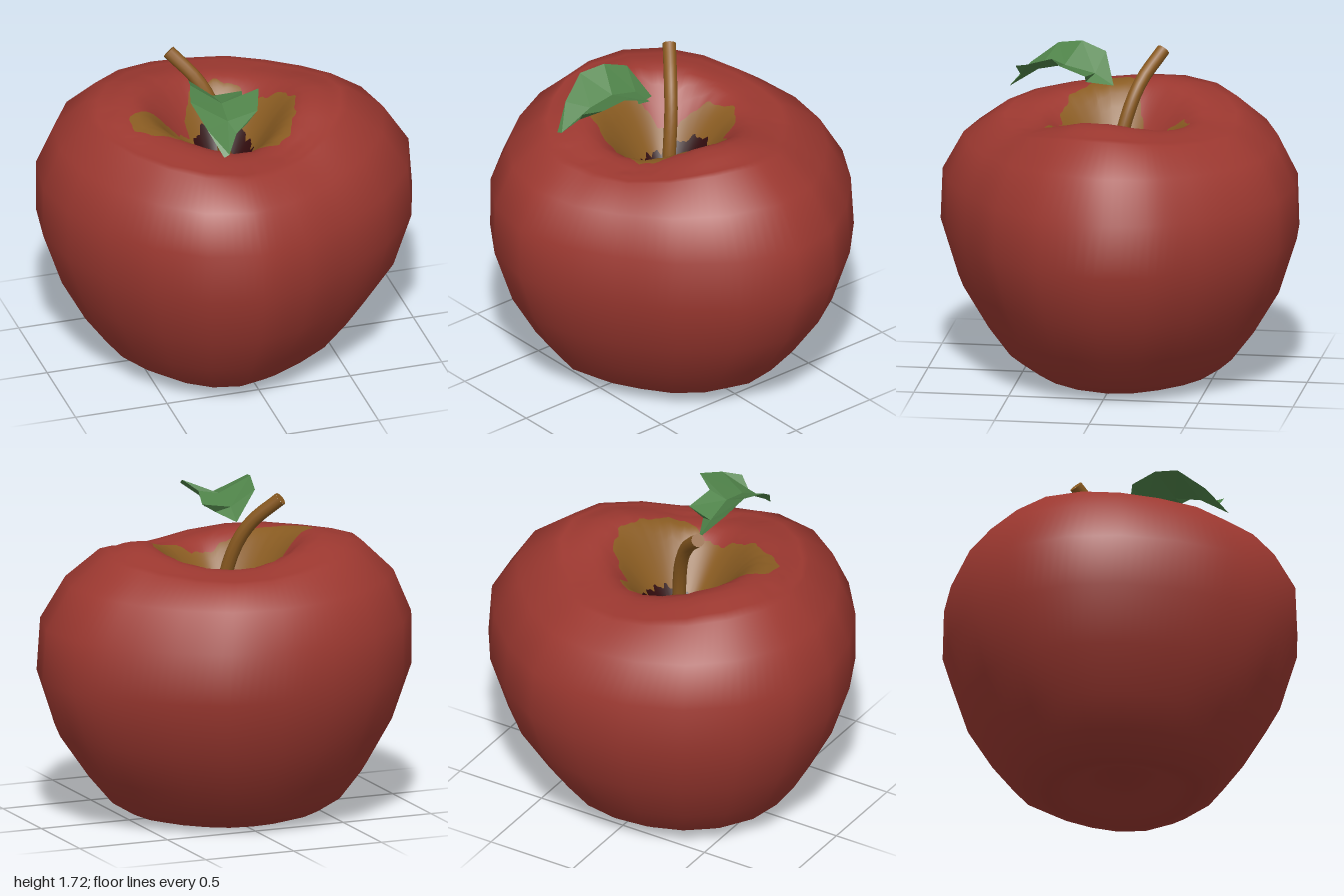
import * as THREE from 'three';

const mat = (name, color, side = THREE.FrontSide) => {
  const m = new THREE.MeshStandardMaterial({ color, side });
  m.name = name;
  return m;
};

// Girth of the fruit, going round from +x towards +z: x, height of the upper rim, z
const GIRTH = [
  [1, 1.465, -0.02], [0.9, 1.455, 0.29], [0.69, 1.41, 0.55], [0.42, 1.365, 0.74], [0.16, 1.36, 0.88],
  [-0.11, 1.38, 0.95], [-0.39, 1.41, 0.89], [-0.63, 1.43, 0.72], [-0.82, 1.44, 0.48], [-0.95, 1.455, 0.21],
  [-1, 1.47, -0.07], [-0.95, 1.48, -0.36], [-0.79, 1.475, -0.62], [-0.55, 1.45, -0.81], [-0.26, 1.42, -0.92],
  [0.03, 1.395, -0.95], [0.32, 1.39, -0.9], [0.57, 1.395, -0.75], [0.79, 1.415, -0.54], [0.95, 1.445, -0.3],
].map((p) => new THREE.Vector3(...p));

// Outer rings from the bottom dimple to the shoulder: scale, height, x shift, share of the rim's wave
const RINGS = [
  [0, 0.1, -0.02, 0], [0.06, 0.1, -0.02, 0], [0.13, 0.115, -0.02, 0], [0.22, 0.08, -0.03, 0], [0.32, 0.03, -0.04, 0],
  [0.42, 0.003, -0.04, 0], [0.51, 0.03, -0.035, 0], [0.63, 0.105, -0.03, 0], [0.755, 0.26, -0.02, 0],
  [0.9, 0.49, 0, 0], [1, 0.785, 0, 0], [0.99, 1.06, -0.01, 0.1], [0.875, 1.27, -0.035, 0.35],
];
const SHOULDER = 0.7;
const CENTRE = -0.05;

// Reach of the painted patches from the centre of the hollow, at even angles
const PALE = [0.39, 0.39, 0.385, 0.41, 0.42, 0.34, 0.31, 0.33, 0.36, 0.4, 0.44, 0.54,
  0.49, 0.28, 0.22, 0.19, 0.25, 0.32, 0.36, 0.39, 0.36, 0.29, 0.33, 0.37];
const DARK = [0.17, 0.15, 0.13, 0.12, 0.13, 0.14, 0.15, 0.15, 0.18, 0.23, 0.23, 0.19];

function reach(table, angle) {
  const f = ((angle / (2 * Math.PI) + 1) % 1) * table.length;
  const i = Math.floor(f);
  const wobble = 0.008 * Math.sin(angle * 17) + 0.005 * Math.sin(angle * 31);
  return THREE.MathUtils.lerp(table[i % table.length], table[(i + 1) % table.length], f - i) + wobble;
}

const SUB = 6;
const COLS = GIRTH.length * SUB;
const BAND = 7;

// Grid of the fruit, with straight or rounded sides between the girth points
function fruitGrid(rounded) {
  const curve = new THREE.CatmullRomCurve3(GIRTH, true);
  const columns = [];
  for (let c = 0; c < COLS; c++) {
    const i = Math.floor(c / SUB);
    const g = rounded ? curve.getPoint(c / COLS)
      : GIRTH[i].clone().lerp(GIRTH[(i + 1) % GIRTH.length], (c % SUB) / SUB);
    const wave = g.y - 1.43;
    const column = RINGS.map(([s, y, dx, w]) => [s * g.x + dx, y + w * wave, s * g.z]);
    // Shoulder, rim and hollow, with rows following the patch edges
    const r = Math.hypot(g.x, g.z);
    const angle = Math.atan2(g.z, g.x);
    const stops = [SHOULDER, reach(PALE, angle) / r, reach(DARK, angle) / r, 0];
    for (let k = 0; k <= 3 * BAND; k++) {
      const b = Math.min(2, Math.floor(k / BAND));
      const s = THREE.MathUtils.lerp(stops[b], stops[b + 1], k / BAND - b);
      const up = THREE.MathUtils.smoothstep(s, 0, 0.46);
      const y = 1.02 + 0.41 * up - 0.03 * THREE.MathUtils.smoothstep(s, 0.5, SHOULDER);
      column.push([s * g.x + CENTRE, y + wave * up * (s > 0.6 ? 0.85 : 1), s * g.z]);
    }
    columns.push(column);
  }
  const rows = columns[0].length;
  const positions = [];
  const index = [];
  for (let j = 0; j < rows; j++) for (let c = 0; c < COLS; c++) positions.push(...columns[c][j]);
  for (let j = 0; j < rows - 1; j++) {
    for (let c = 0; c < COLS; c++) {
      const n = (c + 1) % COLS;
      const a = j * COLS + c, b = j * COLS + n, d = a + COLS, e = b + COLS;
      index.push(a, d, b, b, d, e);
    }
  }
  const geo = new THREE.BufferGeometry();
  geo.setAttribute('position', new THREE.Float32BufferAttribute(positions, 3));
  geo.setIndex(index);
  geo.computeVertexNormals();
  return geo;
}

function makeFruit(skin, pale, dark) {
  const geo = fruitGrid(false);
  geo.setAttribute('normal', fruitGrid(true).getAttribute('normal'));
  const perRow = COLS * 6;
  const skinRows = RINGS.length + BAND;
  geo.addGroup(0, skinRows * perRow, 0);
  geo.addGroup(skinRows * perRow, BAND * perRow, 1);
  geo.addGroup((skinRows + BAND) * perRow, BAND * perRow, 2);
  const mesh = new THREE.Mesh(geo, [skin, pale, dark]);
  mesh.name = 'fruit';
  return mesh;
}

// Bent stem with a flat cut end
function makeStem(material) {
  const path = new THREE.CatmullRomCurve3([
    [-0.03, 0.98, 0.01], [-0.035, 1.2, 0], [-0.08, 1.42, -0.05], [-0.15, 1.56, -0.105], [-0.275, 1.695, -0.2],
  ].map((p) => new THREE.Vector3(...p)));
  const stem = new THREE.Group();
  stem.name = 'stem';
  const stalk = new THREE.Mesh(new THREE.TubeGeometry(path, 14, 0.036, 10), material);
  stalk.name = 'stalk';
  const cut = new THREE.Mesh(new THREE.CircleGeometry(0.036, 10), material);
  cut.name = 'stalkEnd';
  cut.position.copy(path.getPoint(1));
  cut.lookAt(path.getPoint(1).add(path.getTangent(1)));
  stem.add(stalk, cut);
  return stem;
}

// Arched leaf folded along its midrib, with a ragged edge on one side
function makeLeaf(material) {
  const midrib = [[-0.13, 1.53, 0.04], [-0.14, 1.59, 0.14], [-0.14, 1.63, 0.3], [-0.15, 1.6, 0.44], [-0.19, 1.49, 0.6]];
  const smoothEdge = [[-0.26, 1.68, 0.1], [-0.29, 1.725, 0.23], [-0.33, 1.7, 0.36], [-0.28, 1.6, 0.5], [-0.22, 1.48, 0.605]];
  const raggedEdge = [[-0.07, 1.56, 0.18], [0.01, 1.61, 0.17], [-0.03, 1.65, 0.31], [0.05, 1.71, 0.34],
    [0, 1.66, 0.48], [-0.13, 1.57, 0.53], [-0.08, 1.63, 0.55]];
  const geo = new THREE.BufferGeometry();
  geo.setAttribute('position', new THREE.Float32BufferAttribute([...midrib, ...smoothEdge, ...raggedEdge].flat(), 3));
  geo.setIndex([
    0, 5, 1, 1, 5, 6, 1, 6, 2, 2, 6, 7, 2, 7, 3, 3, 7, 8, 3, 8, 4, 4, 8, 9,
    0, 1, 10, 1, 11, 10, 1, 2, 11, 2, 12, 11, 2, 13, 12, 2, 3, 13, 3, 14, 13, 3, 15, 14, 15, 16, 14, 3, 4, 15,
  ]);
  const flat = geo.toNonIndexed();
  flat.computeVertexNormals();
  const leaf = new THREE.Mesh(flat, material);
  leaf.name = 'leaf';
  return leaf;
}

export function createModel() {
  const skin = mat('red skin', 0x9c3830);
  const pale = mat('brown patch', 0x8a5c22);
  const dark = mat('dark hollow', 0x300b0d);
  const wood = mat('stem brown', 0x8a5a20);
  const green = mat('leaf green', 0x50844a, THREE.DoubleSide);
  const model = new THREE.Group();
  model.name = 'apple';
  model.add(makeFruit(skin, pale, dark), makeStem(wood), makeLeaf(green));
  return model;
}
